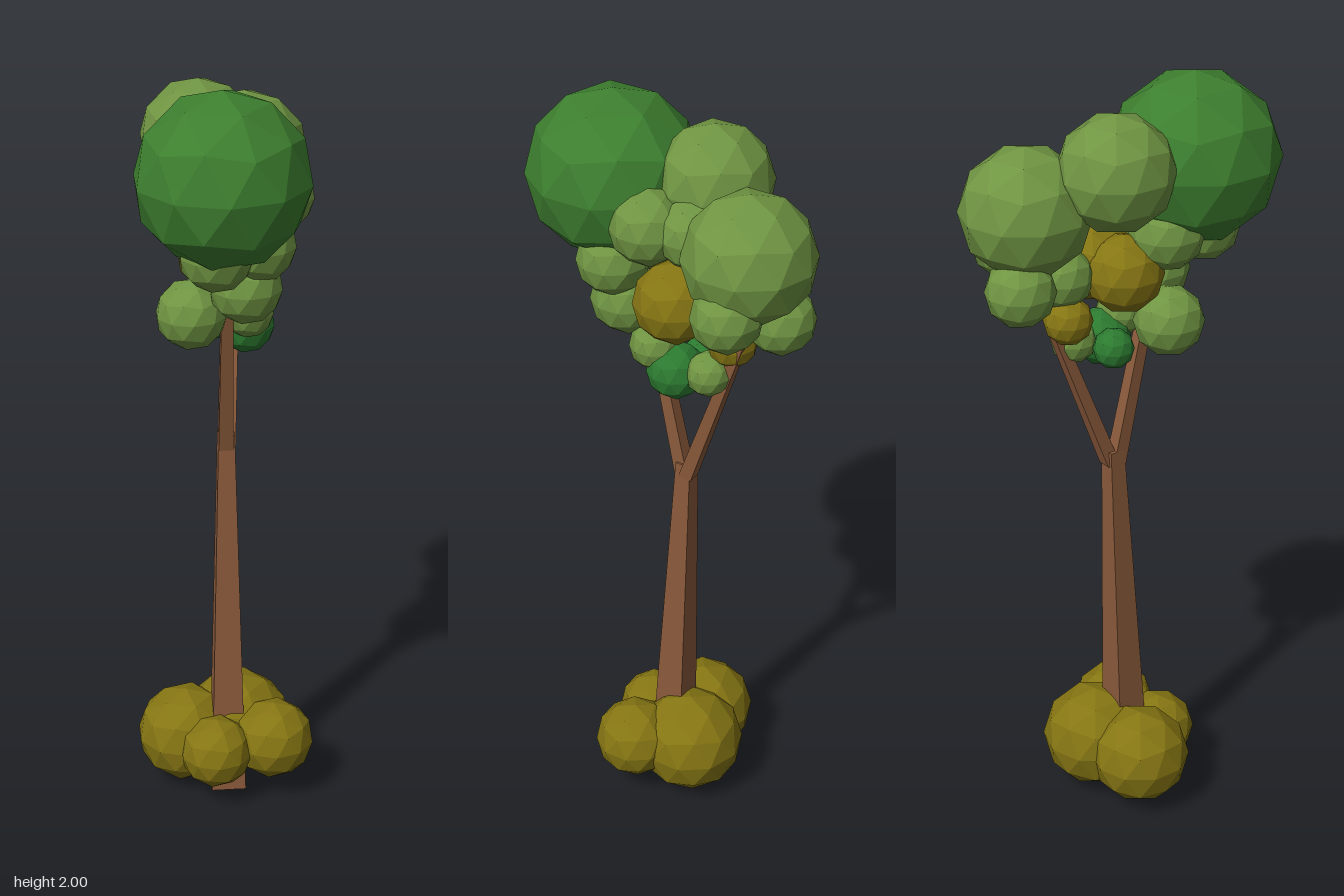
import * as THREE from 'three';

const mat = (color) => new THREE.MeshStandardMaterial({ color, flatShading: true });

export function createModel() {
  const tree = new THREE.Group();
  const bark = mat(0x8a5a3b);
  const darkGreen = mat(0x3d7f2f);
  const deepGreen = mat(0x2c7a30);
  const leafGreen = mat(0x6f9442);
  const mustard = mat(0x857513);

  // Faceted ball with a vertex straight up and a ten-sided outline from above
  const ball = new THREE.IcosahedronGeometry(1, 1);
  ball.rotateX(-Math.atan((1 + Math.sqrt(5)) / 2));
  ball.rotateY(Math.PI / 2);

  function clump(name, material, list) {
    const group = new THREE.Group();
    group.name = name;
    for (const [x, y, z, r] of list) {
      const mesh = new THREE.Mesh(ball, material);
      mesh.name = name + 'Ball';
      mesh.position.set(x, y, z);
      mesh.scale.setScalar(r);
      group.add(mesh);
    }
    tree.add(group);
  }

  // Square tapering limb leaning from one point to another, ends kept level
  function limb(name, from, to, half0, half1) {
    const h = to[1] - from[1];
    const geo = new THREE.CylinderGeometry(half1 * Math.SQRT2, half0 * Math.SQRT2, h, 4, 1);
    geo.rotateY(Math.PI / 4);
    const p = geo.attributes.position;
    for (let i = 0; i < p.count; i++) {
      const t = p.getY(i) / h + 0.5;
      p.setXYZ(
        i,
        p.getX(i) + from[0] + (to[0] - from[0]) * t,
        from[1] + h * t,
        p.getZ(i) + from[2] + (to[2] - from[2]) * t
      );
    }
    geo.computeVertexNormals();
    const mesh = new THREE.Mesh(geo, bark);
    mesh.name = name;
    tree.add(mesh);
  }

  // Trunk and fork
  limb('trunk', [-0.005, 0, 0.005], [-0.005, 1.03, -0.037], 0.046, 0.021);
  limb('frontBranch', [-0.007, 0.99, -0.03], [-0.012, 1.48, 0.08], 0.019, 0.014);
  limb('backBranch', [0, 0.99, -0.043], [0.04, 1.56, -0.25], 0.019, 0.012);

  // Crown
  clump('mainFoliage', darkGreen, [[-0.033, 1.783, 0.19, 0.217]]);
  clump('foliage', leafGreen, [
    [0.06, 1.71, -0.245, 0.165],
    [-0.07, 1.81, -0.073, 0.147],
    [0.155, 1.595, -0.24, 0.088],
    [0.005, 1.535, -0.302, 0.088],
    [0.08, 1.73, 0.02, 0.098],
    [0.06, 1.73, -0.09, 0.088],
    [-0.05, 1.605, 0.21, 0.092],
    [0.06, 1.6, 0.135, 0.092],
    [-0.07, 1.62, 0.08, 0.095],
    [0.03, 1.485, 0.115, 0.092],
    [-0.1, 1.4, 0.065, 0.09],
    [0.045, 1.385, 0.025, 0.065],
    [0.04, 1.345, -0.125, 0.058],
    [0.03, 1.53, -0.165, 0.08]
  ]);
  clump('lowFoliage', deepGreen, [
    [0.045, 1.33, -0.035, 0.074],
    [-0.04, 1.335, -0.06, 0.052]
  ]);
  clump('mustardFoliage', mustard, [
    [0.065, 1.535, -0.045, 0.105],
    [-0.03, 1.525, -0.02, 0.1],
    [0, 1.425, -0.168, 0.062]
  ]);

  // Bushes round the foot
  clump('bush', mustard, [
    [-0.115, 0.145, -0.03, 0.132],
    [-0.042, 0.148, 0.085, 0.097],
    [0.115, 0.16, 0.05, 0.108],
    [0.03, 0.148, -0.072, 0.143]
  ]);

  return tree;
}
